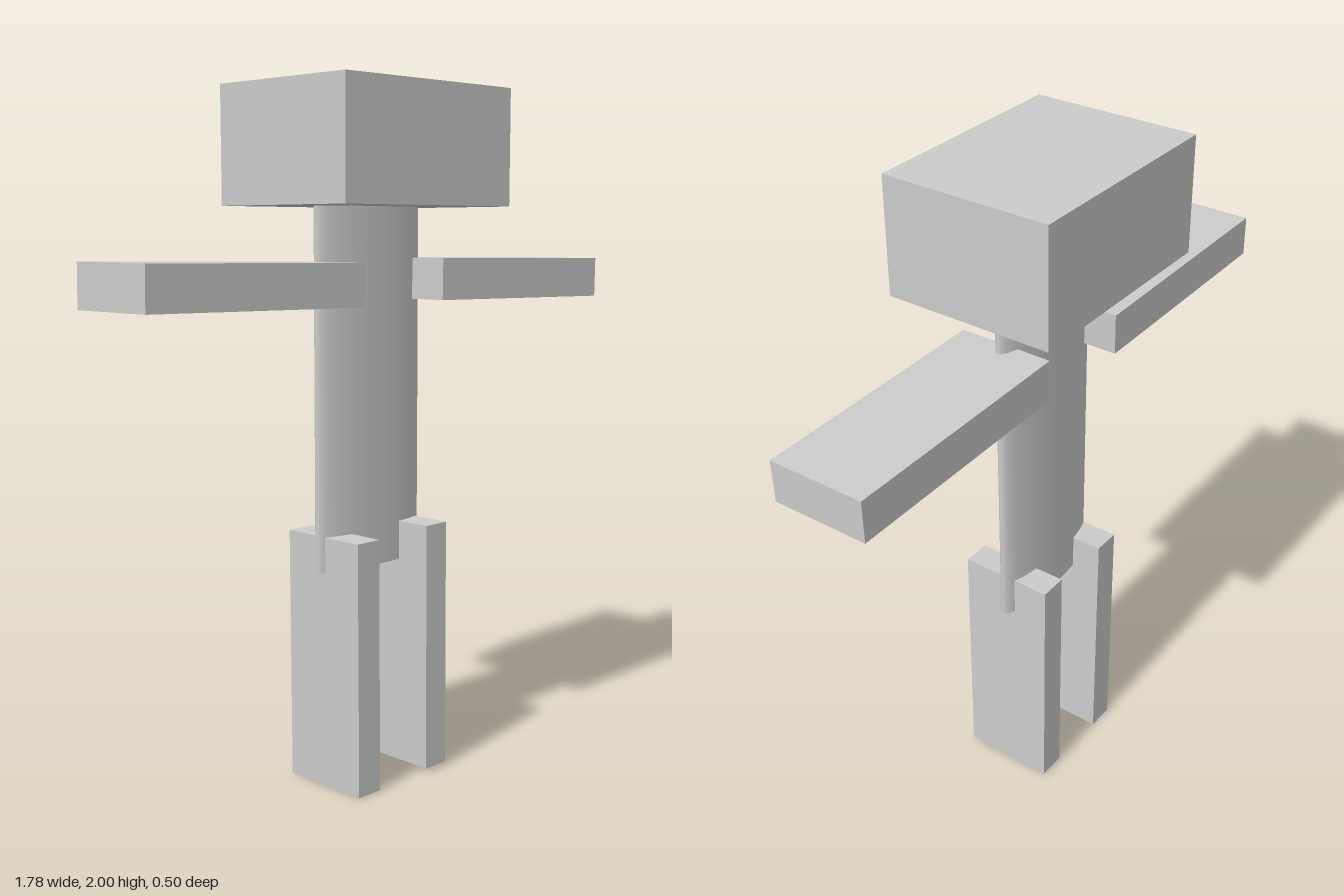
import * as THREE from 'three';

export function createModel() {
  const model = new THREE.Group();
  const material = new THREE.MeshStandardMaterial({ color: 0xcccccc });

  function add(name, geometry, x, y, z, tilt = 0) {
    const mesh = new THREE.Mesh(geometry, material);
    mesh.name = name;
    mesh.position.set(x, y, z);
    mesh.rotation.z = tilt;
    model.add(mesh);
    return mesh;
  }

  // Wide block head
  add('head', new THREE.BoxGeometry(0.658, 0.333, 0.496), 0, 1.8335, 0);

  // Flattened oval torso, reaching up to the head
  const torso = new THREE.CylinderGeometry(1, 1, 1.035, 48);
  torso.scale(0.206, 1, 0.045);
  add('torso', torso, 0, 1.1525, 0);

  // Flat plank arms, both leaning the same slight way
  const arm = new THREE.BoxGeometry(0.734, 0.12, 0.281);
  add('leftArm', arm, 0.523, 1.456, 0.009, -0.014);
  add('rightArm', arm, -0.524, 1.457, 0.009, -0.014);

  // Deep plank legs, the left one set slightly higher
  const leg = new THREE.BoxGeometry(0.085, 0.738, 0.281);
  add('leftLeg', leg, 0.137, 0.381, 0.009, 0.006);
  add('rightLeg', leg, -0.144, 0.37, 0.009, 0.006);

  return model;
}
